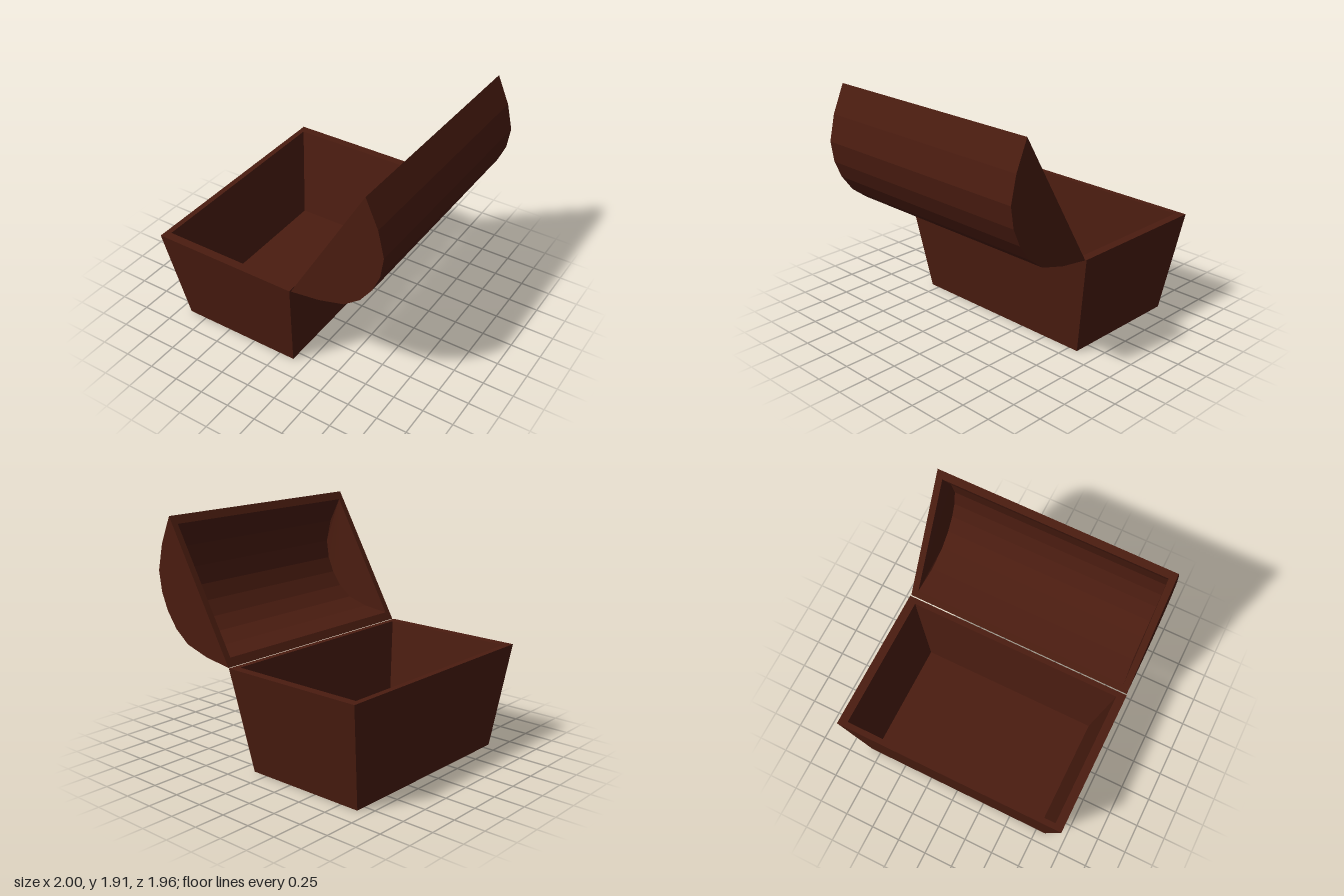
import * as THREE from 'three';

const wood = new THREE.MeshStandardMaterial({ color: 0x4a1c10, flatShading: true });

// Mesh from convex polygons, each a counter-clockwise list of [x, y, z] corners
function polyMesh(name, faces) {
  const pos = [];
  for (const f of faces) {
    for (let i = 1; i < f.length - 1; i++) pos.push(...f[0], ...f[i], ...f[i + 1]);
  }
  const geo = new THREE.BufferGeometry();
  geo.setAttribute('position', new THREE.Float32BufferAttribute(pos, 3));
  geo.computeVertexNormals();
  const mesh = new THREE.Mesh(geo, wood);
  mesh.name = name;
  return mesh;
}

const reversed = (f) => [...f].reverse();

// Quads joining two closed rings of equal length
function band(a, b) {
  return a.map((p, i) => {
    const j = (i + 1) % a.length;
    return [p, a[j], b[j], b[i]];
  });
}

// Tapered hollow box: outer wall, rim, inner wall, floor
function makeBase() {
  const ring = (x0, x1, z, y) => [[x0, y, -z], [x0, y, z], [x1, y, z], [x1, y, -z]];
  const rings = [
    ring(-0.905, 0.13, 0.83, 0),
    ring(-1, 0.225, 0.978, 0.845),
    ring(-0.953, 0.178, 0.907, 0.845),
    ring(-0.865, 0.092, 0.773, 0.08),
  ];
  const faces = [reversed(rings[0]), rings[3]];
  for (let i = 0; i < 3; i++) faces.push(...band(rings[i], rings[i + 1]));
  return polyMesh('chestBase', faces);
}

// Hollow barrel lid, swung open: profile runs from the hinge edge to the free edge
function makeLid() {
  const outer = [
    [0.235, 0.845], [0.48, 0.88], [0.69, 0.94], [0.82, 1.04], [0.915, 1.17],
    [0.975, 1.31], [1, 1.48], [0.95, 1.69], [0.85, 1.915],
  ];
  const last = outer.length - 1;
  const cx = (outer[0][0] + outer[last][0]) / 2;
  const cy = (outer[0][1] + outer[last][1]) / 2;
  const inner = outer.map(([x, y]) => [cx + (x - cx) * 0.885, cy + (y - cy) * 0.885]);

  const outZ = () => 0.973;
  const inZ = (i) => (i === 0 || i === last ? 0.92 : 0.903); // end walls taper inside
  const side = (profile, zAt, s) => profile.map(([x, y], i) => [x, y, s * zAt(i)]);
  const of = side(outer, outZ, 1), ob = side(outer, outZ, -1);
  const nf = side(inner, inZ, 1), nb = side(inner, inZ, -1);

  // End walls, outside and inside
  const faces = [of, reversed(ob), reversed(nf), nb];
  // Curved shell, outside and inside
  for (let i = 0; i < last; i++) {
    faces.push([of[i], ob[i], ob[i + 1], of[i + 1]]);
    faces.push([nf[i + 1], nb[i + 1], nb[i], nf[i]]);
  }
  // Flat rim
  faces.push(...band([ob[0], of[0], of[last], ob[last]], [nb[0], nf[0], nf[last], nb[last]]));
  return polyMesh('chestLid', faces);
}

export function createModel() {
  const group = new THREE.Group();
  group.name = 'openChest';
  group.add(makeBase(), makeLid());
  return group;
}
